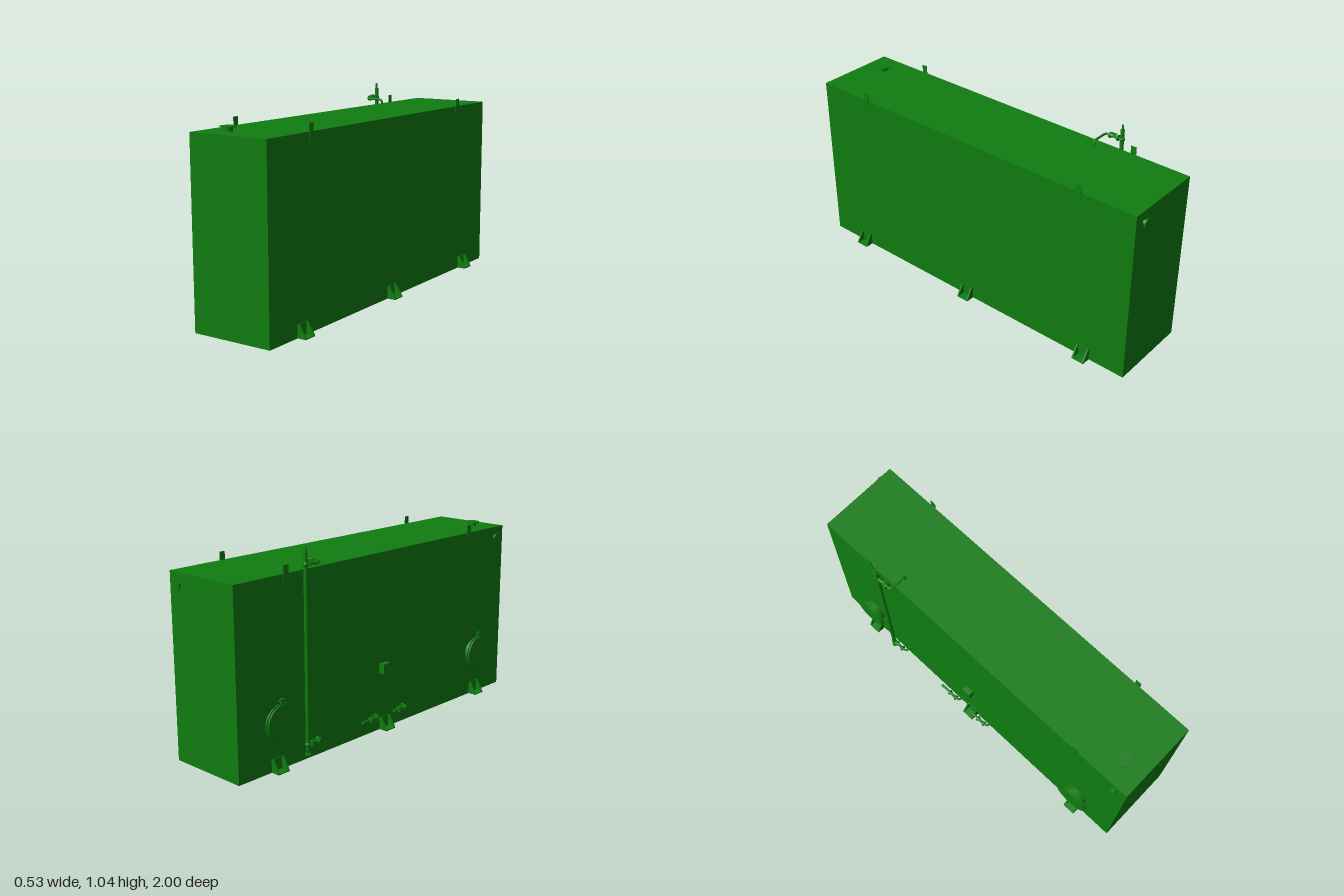
import * as THREE from 'three';

const green = new THREE.MeshStandardMaterial({ color: 0x107c10 });
const V = (x, y, z) => new THREE.Vector3(x, y, z);
const WALL = -0.215; // pipework side of the tank
const WALL2 = 0.219; // plain side of the tank
const TOP = 0.925;

function add(parent, name, geometry, x = 0, y = 0, z = 0) {
  const mesh = new THREE.Mesh(geometry, green);
  mesh.name = name;
  mesh.position.set(x, y, z);
  parent.add(mesh);
  return mesh;
}

function group(parent, name) {
  const g = new THREE.Group();
  g.name = name;
  parent.add(g);
  return g;
}

// Cylinder (or cone) running between two points
function rod(parent, name, a, b, r, rEnd = r, sides = 24) {
  const dir = b.clone().sub(a);
  const mesh = add(parent, name, new THREE.CylinderGeometry(rEnd, r, dir.length(), sides));
  mesh.position.copy(a).add(b).multiplyScalar(0.5);
  mesh.quaternion.setFromUnitVectors(V(0, 1, 0), dir.normalize());
  return mesh;
}

// Pipe through corner points with rounded elbows
function pipe(parent, name, points, r, bend = 0.02) {
  const path = new THREE.CurvePath();
  let from = points[0];
  for (let i = 1; i < points.length - 1; i++) {
    const p = points[i];
    const a = p.clone().add(points[i - 1].clone().sub(p).setLength(bend));
    const b = p.clone().add(points[i + 1].clone().sub(p).setLength(bend));
    path.add(new THREE.LineCurve3(from, a));
    path.add(new THREE.QuadraticBezierCurve3(a, p, b));
    from = b;
  }
  path.add(new THREE.LineCurve3(from, points[points.length - 1]));
  return add(parent, name, new THREE.TubeGeometry(path, 60, r, 12));
}

// Flanged valve lying along z, with stem and handle
function valve(parent, x, y, z) {
  const g = group(parent, 'valve');
  for (const s of [-1, 1]) {
    rod(g, 'valveFlange', V(x, y, z + s * 0.02), V(x, y, z + s * 0.026), 0.015);
    rod(g, 'valveCone', V(x, y, z + s * 0.02), V(x, y, z), 0.011, 0.006);
  }
  rod(g, 'valveStem', V(x, y, z), V(x, y + 0.016, z), 0.004);
  add(g, 'valveHandle', new THREE.BoxGeometry(0.008, 0.003, 0.03), x, y + 0.016, z);
}

// Neck from the wall with an end flange
function nozzle(parent, name, base, dir, length, rNeck, rFlange, thickness) {
  const g = group(parent, name);
  const end = base.clone().addScaledVector(dir, length);
  rod(g, 'neck', base, end, rNeck, rNeck, 32);
  rod(g, 'flange', end.clone().addScaledVector(dir, -thickness), end, rFlange, rFlange, 32);
}

// Bracket foot: base plate, wall plate and two gussets
function foot(parent, side, z) {
  const g = group(parent, 'foot');
  g.position.set(side > 0 ? WALL2 : WALL, 0, z);
  add(g, 'footBase', new THREE.BoxGeometry(0.046, 0.005, 0.07), side * 0.023, 0.0025, 0);
  add(g, 'footBackPlate', new THREE.BoxGeometry(0.004, 0.065, 0.07), side * 0.002, 0.0325, 0);
  const shape = new THREE.Shape([[0, 0], [0.046, 0], [0.046, 0.006], [0.011, 0.065], [0, 0.065]]
    .map(([x, y]) => new THREE.Vector2(x, y)));
  for (const s of [-1, 1]) {
    const geo = new THREE.ExtrudeGeometry(shape, { depth: 0.008, bevelEnabled: false });
    geo.translate(0, 0, -0.004);
    if (side < 0) geo.rotateY(Math.PI);
    add(g, 'footGusset', geo, 0, 0, s * 0.031);
  }
}

// Round access hatch with bolted cover and hinge
function manhole(parent, z) {
  const g = group(parent, 'manhole');
  const y = 0.242;
  rod(g, 'manholeNeck', V(WALL, y, z), V(-0.247, y, z), 0.07, 0.07, 48);
  rod(g, 'manholeFlange', V(-0.243, y, z), V(-0.25, y, z), 0.096, 0.096, 48);
  rod(g, 'manholeCover', V(-0.251, y, z), V(-0.259, y, z), 0.09, 0.09, 48);
  rod(g, 'manholeGasket', V(-0.249, y, z), V(-0.252, y, z), 0.085, 0.085, 48);
  add(g, 'manholeHinge', new THREE.BoxGeometry(0.012, 0.032, 0.012), -0.25, y + 0.104, z);
  rod(g, 'hingePin', V(-0.25, y + 0.112, z - 0.015), V(-0.25, y + 0.112, z + 0.015), 0.005);
}

// Drain branch leaving the wall and turning towards the back
function drain(parent, z, length) {
  const g = group(parent, 'drainBranch');
  const x = -0.25, y = 0.09;
  pipe(g, 'drainPipe', [V(WALL, y, z), V(x, y, z), V(x, y, z - length)], 0.006);
  valve(g, x, y, z - 0.045);
  rod(g, 'drainCap', V(x, y, z - length), V(x, y, z - length + 0.01), 0.008);
}

export function createModel() {
  const model = new THREE.Group();
  model.name = 'storageTank';

  // Tank body
  add(model, 'tankBody', new THREE.BoxGeometry(WALL2 - WALL, TOP, 1.98),
    (WALL + WALL2) / 2, TOP / 2, 0.01);

  // Feet and lifting lugs on both long sides
  for (const side of [-1, 1]) {
    for (const z of [0.765, 0.005, -0.745]) foot(model, side, z);
    for (const z of [0.685, -0.67]) {
      add(model, 'liftingLug', new THREE.BoxGeometry(0.003, 0.08, 0.03),
        side > 0 ? WALL2 + 0.0015 : WALL - 0.0015, 0.925, z);
    }
  }

  // Nozzles on the top, side and back
  nozzle(model, 'topNozzle', V(-0.094, TOP, 0.88), V(0, 1, 0), 0.024, 0.022, 0.037, 0.005);
  nozzle(model, 'sideNozzle', V(WALL, 0.867, 0.93), V(-1, 0, 0), 0.02, 0.017, 0.029, 0.005);
  nozzle(model, 'backNozzle', V(0.155, 0.867, -0.98), V(0, 0, -1), 0.02, 0.014, 0.025, 0.005);

  // Access hatches and the instrument box
  for (const z of [0.755, -0.742]) manhole(model, z);
  add(model, 'instrumentBox', new THREE.BoxGeometry(0.032, 0.052, 0.05), WALL - 0.016, 0.329, -0.01);

  // Level gauge: standing pipe with an upper and a lower valved branch
  const gauge = group(model, 'levelGauge');
  const gx = -0.25, gz = -0.58;
  rod(gauge, 'gaugePipe', V(gx, 0.065, gz), V(gx, 1.01, gz), 0.01);
  rod(gauge, 'gaugeTip', V(gx, 1.01, gz), V(gx, 1.036, gz), 0.005);
  rod(gauge, 'gaugeDrain', V(gx, 0.04, gz), V(gx, 0.065, gz), 0.006);
  rod(gauge, 'gaugeDrainFlange', V(gx, 0.039, gz), V(gx, 0.043, gz), 0.015);
  pipe(gauge, 'upperBranch', [V(gx, 0.957, gz), V(gx, 0.957, -0.486),
    V(-0.154, 0.957, -0.486), V(-0.154, TOP - 0.005, -0.486)], 0.006);
  pipe(gauge, 'lowerBranch', [V(gx, 0.09, gz), V(gx, 0.09, -0.486), V(WALL, 0.09, -0.486)], 0.006);
  for (const y of [0.957, 0.09]) {
    valve(gauge, gx, y, -0.535);
    add(gauge, 'gaugeTee', new THREE.SphereGeometry(0.014, 20, 14), gx, y, gz);
  }

  // Low drain branches
  drain(model, -0.07, 0.13);
  drain(model, 0.145, 0.105);

  return model;
}
